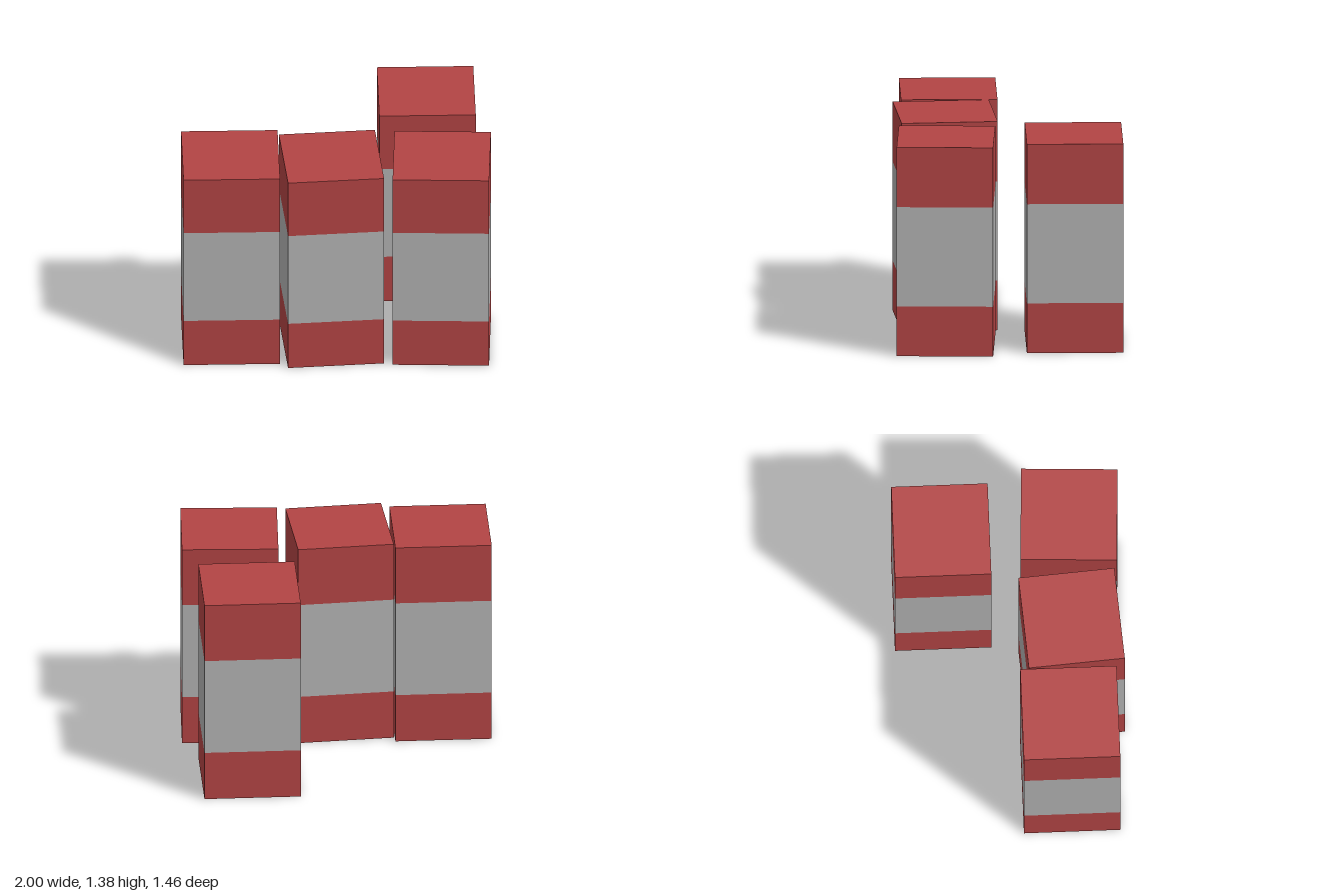
import * as THREE from 'three';

const SIDE = 0.622;

export function createModel() {
  const red = new THREE.MeshStandardMaterial({ color: 0xb24444 });
  red.name = 'brick red';
  const grey = new THREE.MeshStandardMaterial({ color: 0xb2b2b2 });
  grey.name = 'light grey';

  // Stacked bands of one block: name, bottom, top, colour
  const bands = [
    ['lowerBand', 0, 0.33, red],
    ['middleBand', 0.33, 0.986, grey],
    ['upperBand', 0.986, 1.382, red],
  ];

  // Blocks: name, centre x, centre z, turn about y
  const blocks = [
    ['rightBlock', -0.688, 0.36, 0],
    ['middleBlock', -0.038, 0.394, 0.07],
    ['leftBlock', 0.673, 0.405, -0.046],
    ['backBlock', 0.595, -0.422, 0],
  ];

  const model = new THREE.Group();
  model.name = 'bandedBlocks';
  for (const [name, x, z, turn] of blocks) {
    const block = new THREE.Group();
    block.name = name;
    block.position.set(x, 0, z);
    block.rotation.y = turn;
    for (const [bandName, bottom, top, material] of bands) {
      const band = new THREE.Mesh(new THREE.BoxGeometry(SIDE, top - bottom, SIDE), material);
      band.name = bandName;
      band.position.y = (bottom + top) / 2;
      block.add(band);
    }
    model.add(block);
  }
  return model;
}
